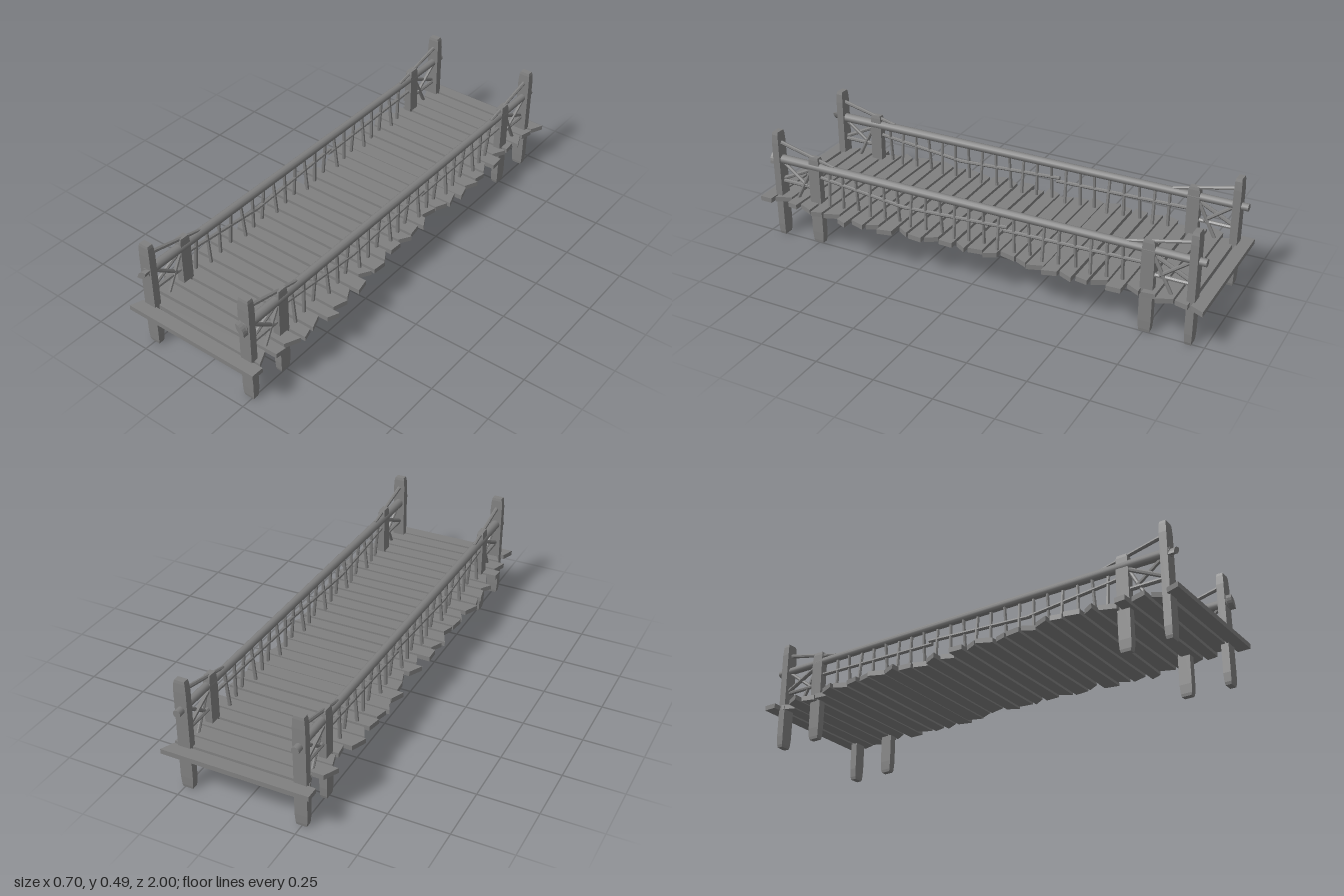
import * as THREE from 'three';

const material = new THREE.MeshStandardMaterial({ color: 0x808080, flatShading: true });
const smooth = new THREE.MeshStandardMaterial({ color: 0x808080 });

function add(parent, name, geometry, mat = material) {
  const mesh = new THREE.Mesh(geometry, mat);
  mesh.name = name;
  parent.add(mesh);
  return mesh;
}

// Round stick between two points
function stick(parent, name, a, b, r0, r1 = r0, sides = 7) {
  const p = new THREE.Vector3(...a), q = new THREE.Vector3(...b);
  const dir = q.clone().sub(p);
  const mesh = add(parent, name, new THREE.CylinderGeometry(r1, r0, dir.length(), sides), sides > 8 ? smooth : material);
  mesh.position.copy(p).lerp(q, 0.5);
  mesh.quaternion.setFromUnitVectors(new THREE.Vector3(0, 1, 0), dir.normalize());
}

// Square post whose two ends are tapered
function post(parent, name, x, z, width, depth, height) {
  const r = Math.SQRT1_2;
  const profile = [[0, 0], [0.78, 0], [0.9, 0.012], [1, 0.05], [1, height - 0.05], [0.9, height - 0.012], [0.78, height], [0, height]]
    .map(([k, y]) => new THREE.Vector2(k * r, y));
  const geometry = new THREE.LatheGeometry(profile, 4).rotateY(Math.PI / 4).scale(width, 1, depth);
  add(parent, name, geometry).position.set(x, 0, z);
}

// Plank with slanted sawn ends and a slight taper, seen from above
function plank(parent, z, depth, left, right, i) {
  const taper = i === 0 || i === 29 ? 0 : 0.005 * Math.sin(i * 3.1);
  const hl = depth / 2 + taper, hr = depth / 2 - taper;
  const cutL = 0.03 * Math.sin(i * 2.3), cutR = 0.03 * Math.sin(i * 1.7 + 1);
  const shape = new THREE.Shape([
    new THREE.Vector2(left + Math.max(0, cutL), -hl),
    new THREE.Vector2(right - Math.max(0, cutR), -hr),
    new THREE.Vector2(right - Math.max(0, -cutR), hr),
    new THREE.Vector2(left + Math.max(0, -cutL), hl),
  ]);
  const geometry = new THREE.ExtrudeGeometry(shape, { depth: 0.021, bevelEnabled: false }).rotateX(-Math.PI / 2);
  add(parent, 'plank', geometry).position.set(0, 0.172, z);
}

// Pointed oval rail tip
function tip(parent, x, angle) {
  const shape = new THREE.Shape();
  shape.moveTo(-0.031, 0);
  shape.quadraticCurveTo(0, -0.025, 0.031, 0);
  shape.quadraticCurveTo(0, 0.025, -0.031, 0);
  const mesh = add(parent, 'railTip', new THREE.ExtrudeGeometry(shape, { depth: 0.03, bevelEnabled: false, curveSegments: 6 }));
  mesh.position.set(x, 0.357, 0.945);
  mesh.rotation.z = angle;
}

// Plank ends in hundredths, from back to front
const leftEnds = [31, 28, 33, 30, 29, 34, 33, 33, 33, 34, 34, 31, 30, 33, 30, 33, 33, 34, 32, 33, 33, 35, 34, 34, 34, 31, 33, 32, 29, 31];
const rightEnds = [31, 29, 30, 28, 28, 30, 29, 30, 31, 31, 30, 29, 27, 30, 29, 30, 29, 30, 31, 30, 33, 32, 33, 35, 32, 33, 32, 31, 29, 31];

export function createModel() {
  const model = new THREE.Group();

  const deck = new THREE.Group();
  deck.name = 'deck';
  model.add(deck);
  leftEnds.forEach((l, i) => {
    const depth = [2, 5, 9, 10, 12].includes(i) ? 0.063 : 0.055;
    const z = -0.9725 + i * (1.945 / 29);
    plank(deck, z, depth, -l / 100, rightEnds[i] / 100, i);
  });

  for (const side of [-1, 1]) {
    const x = side < 0 ? -0.249 : 0.237;
    const railing = new THREE.Group();
    railing.name = side < 0 ? 'rightRailing' : 'leftRailing';
    model.add(railing);

    // Main rail and its front tip
    stick(railing, 'handrail', [x, 0.357, 0.955], [x, 0.36, -0.98], 0.02, 0.016, 12);
    tip(railing, x, side < 0 ? 0.72 : -0.9);

    // Posts and braces at both ends
    for (const end of [-1, 1]) {
      post(railing, 'tallPost', x, end * 0.935, 0.053, 0.032, 0.486);
      post(railing, 'shortPost', x, end * 0.753, 0.032, 0.053, 0.403);
      stick(railing, 'slopedBrace', [x, 0.437, end * 0.935], [x, 0.373, end * 0.66], 0.009, 0.007);
      stick(railing, 'lowBar', [x, 0.255, end * 0.935], [x, 0.255, end * 0.76], 0.009);
      stick(railing, 'crossBrace', [x - 0.004, 0.345, end * 0.76], [x - 0.004, 0.26, end * 0.93], 0.009);
      stick(railing, 'crossBrace', [x + 0.004, 0.19, end * 0.85], [x + 0.004, 0.345, end * 0.77], 0.008);
      stick(railing, 'crossBrace', [x + 0.003, 0.26, end * 0.8], [x + 0.003, 0.35, end * 0.92], 0.008);
    }

    // Upright sticks, each leaning a little
    for (let i = 0; i < 21; i++) {
      const z = 0.685 - i * 0.0667;
      const lean = 0.014 * Math.sin(i * 2.1 + side);
      stick(railing, 'baluster', [x + lean, 0.185, z + 0.004 * Math.sin(i * 1.3)], [x - lean * 0.4, 0.355, z], 0.008, 0.007, 6);
    }

    // Thin middle rail in three lengths
    stick(railing, 'middleRail', [x, 0.313, 0.745], [x, 0.27, 0.315], 0.008);
    stick(railing, 'middleRail', [x, 0.27, 0.335], [x, 0.298, -0.155], 0.008);
    stick(railing, 'middleRail', [x, 0.282, -0.14], [x, 0.298, -0.745], 0.008);
  }
  return model;
}
